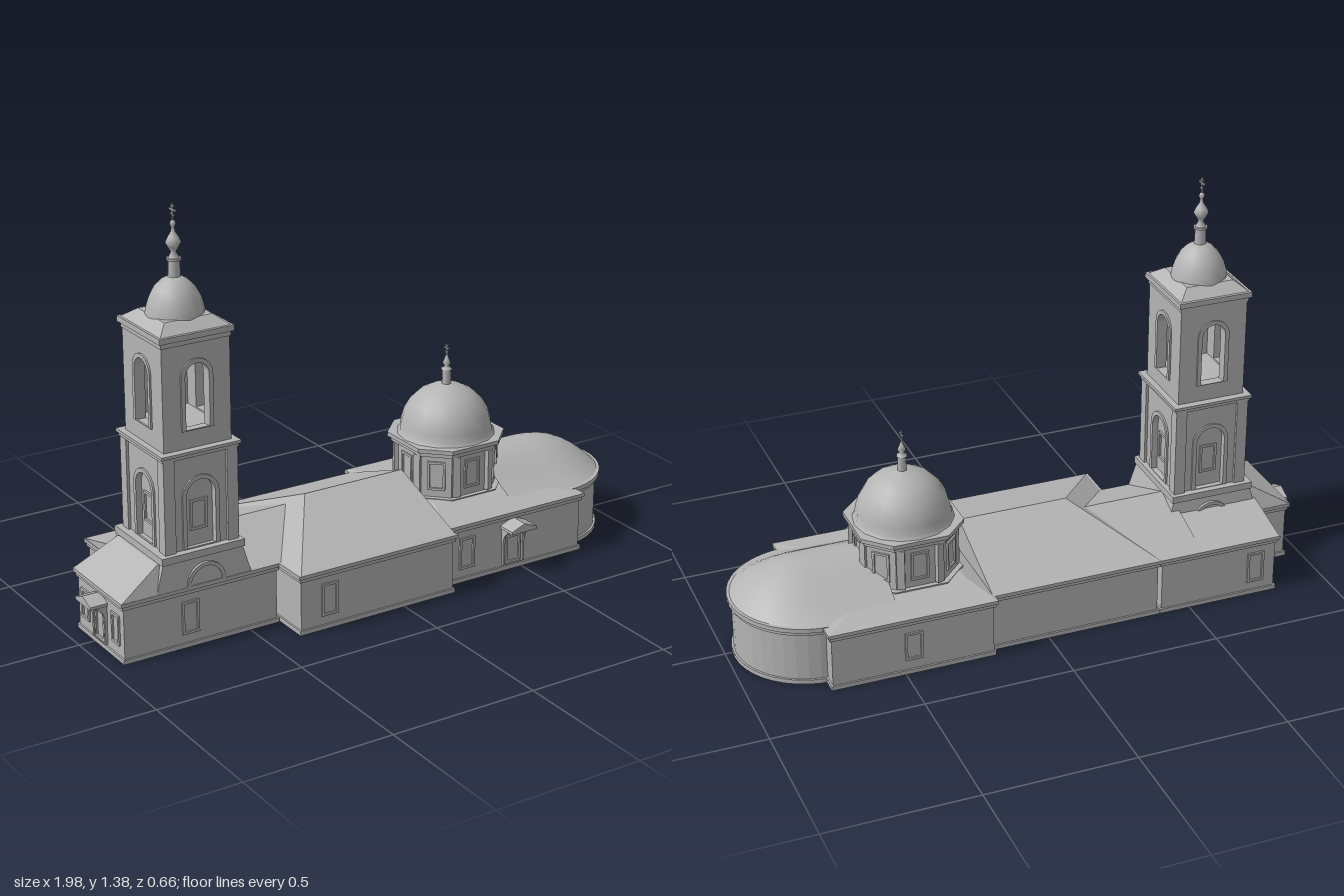
import * as THREE from 'three';

const stone = new THREE.MeshStandardMaterial({ color: 0xb4b4b4, side: THREE.DoubleSide });
stone.name = 'grey stone';

function add(parent, name, geo, x = 0, y = 0, z = 0, ry = 0) {
  const m = new THREE.Mesh(geo, stone);
  m.name = name;
  m.position.set(x, y, z);
  m.rotation.y = ry;
  parent.add(m);
  return m;
}

// Box given by its limits
function block(parent, name, x0, x1, y0, y1, z0, z1) {
  return add(parent, name, new THREE.BoxGeometry(x1 - x0, y1 - y0, z1 - z0),
    (x0 + x1) / 2, (y0 + y1) / 2, (z0 + z1) / 2);
}

// Solid between a lower and an upper rectangle [x0, x1, z0, z1]; covers hips, gables and sheds
function loft(parent, name, a, ya, b, yb) {
  const ring = (r, y) => [[r[0], y, r[3]], [r[1], y, r[3]], [r[1], y, r[2]], [r[0], y, r[2]]];
  const lo = ring(a, ya), hi = ring(b, yb), pos = [];
  const quad = (p, q, r, s) => pos.push(...p, ...q, ...r, ...p, ...r, ...s);
  for (let i = 0; i < 4; i++) {
    const j = (i + 1) % 4;
    // start on the lower edge so a collapsed top edge still gives one full triangle
    pos.push(...lo[i], ...lo[j], ...hi[j], ...lo[i], ...hi[j], ...hi[i]);
  }
  quad(...hi);
  const g = new THREE.BufferGeometry();
  g.setAttribute('position', new THREE.Float32BufferAttribute(pos, 3));
  g.computeVertexNormals();
  return add(parent, name, g);
}

const lathe = (pts, n) => new THREE.LatheGeometry(pts.map(p => new THREE.Vector2(...p)), n);
const extrude = (shape, depth) => new THREE.ExtrudeGeometry(shape, { depth, bevelEnabled: false, curveSegments: 10 });

// Round-headed outline, w wide, from y0 up to y1
function arch(path, w, y0, y1) {
  const r = w / 2;
  path.moveTo(-r, y0);
  path.lineTo(r, y0);
  path.lineTo(r, y1 - r);
  path.absarc(0, y1 - r, r, 0, Math.PI, false);
  path.lineTo(-r, y0);
  return path;
}

function archTrim(w, y0, y1, t, depth) {
  const s = arch(new THREE.Shape(), w + 2 * t, y0, y1 + t);
  s.holes.push(arch(new THREE.Path(), w, y0 + 0.002, y1));
  return extrude(s, depth);
}

// Rectangular frame with a thin pane, facing local +z
function windowFrame(parent, name, w, h, x, y, z, ry = 0) {
  const s = new THREE.Shape([[-w, -h], [w, -h], [w, h], [-w, h]].map(p => new THREE.Vector2(p[0] / 2, p[1] / 2)));
  const t = 0.008, a = w / 2 - t, b = h / 2 - t;
  s.holes.push(new THREE.Path([[-a, -b], [-a, b], [a, b], [a, -b]].map(p => new THREE.Vector2(...p))));
  add(parent, name, extrude(s, 0.006), x, y, z, ry);
}

// Four walls with a round-headed opening in each
function archedWalls(parent, name, w, d, y0, y1, ow, oy0, oy1, t) {
  for (let k = 0; k < 4; k++) {
    const width = k % 2 ? d : w, half = (k % 2 ? w : d) / 2, pivot = new THREE.Group();
    const s = new THREE.Shape();
    s.moveTo(-width / 2, y0); s.lineTo(width / 2, y0); s.lineTo(width / 2, y1); s.lineTo(-width / 2, y1);
    s.holes.push(arch(new THREE.Path(), ow, oy0, oy1));
    pivot.name = name;
    pivot.rotation.y = k * Math.PI / 2;
    add(pivot, name + 'Face', extrude(s, t), 0, 0, half - t);
    add(pivot, name + 'ArchTrim', archTrim(ow, oy0, oy1, 0.014, 0.006), 0, 0, half);
    parent.add(pivot);
  }
}

// Square with cut corners, extruded upwards
function cutSquare(h, c, depth) {
  const p = [[h, -c], [h, c], [c, h], [-c, h], [-h, c], [-h, -c], [-c, -h], [c, -h]];
  return extrude(new THREE.Shape(p.map(q => new THREE.Vector2(...q))), depth).rotateX(-Math.PI / 2);
}

function cross(parent, y, h, arm) {
  const t = 0.005;
  block(parent, 'crossPost', -t / 2, t / 2, y, y + h, -t / 2, t / 2);
  block(parent, 'crossArm', -t / 2, t / 2, y + h * 0.6, y + h * 0.6 + t, -arm, arm);
  block(parent, 'crossTopArm', -t / 2, t / 2, y + h * 0.8, y + h * 0.8 + t * 0.8, -arm / 2, arm / 2);
  const foot = block(parent, 'crossFootArm', -t / 2, t / 2, y + h * 0.32, y + h * 0.32 + t * 0.8, -arm / 2, arm / 2);
  foot.rotation.x = 0.4;
}

// Walls with plinth and two-step cornice
function wing(parent, name, x0, x1, z0, z1) {
  block(parent, name + 'Walls', x0, x1, 0, 0.19, z0, z1);
  const e = 0.006;
  block(parent, name + 'Plinth', x0 - e, x1 + e, 0, 0.015, z0 - e, z1 + e);
  block(parent, name + 'Frieze', x0 - e, x1 + e, 0.18, 0.193, z0 - e, z1 + e);
  block(parent, name + 'Cornice', x0 - 2 * e, x1 + 2 * e, 0.193, 0.205, z0 - 2 * e, z1 + 2 * e);
}

// Small gabled canopy on curved brackets, projecting along local +z
function canopy(parent, name, x, z, ry, w, out) {
  const g = new THREE.Group();
  g.name = name;
  g.position.set(x, 0, z);
  g.rotation.y = ry;
  const roof = new THREE.Shape([[-w, 0.152], [w, 0.152], [w, 0.162], [0, 0.182], [-w, 0.162]].map(p => new THREE.Vector2(p[0], p[1])));
  add(g, 'canopyRoof', extrude(roof, out));
  for (const s of [-1, 1]) {
    const b = new THREE.Shape();
    b.moveTo(0, 0.152); b.lineTo(out * 0.9, 0.152); b.quadraticCurveTo(0.008, 0.145, 0.008, 0.09); b.lineTo(0, 0.09);
    add(g, 'canopyBracket', extrude(b, 0.006).rotateY(-Math.PI / 2), s * (w - 0.008) + 0.003, 0, 0);
  }
  add(g, 'doorArch', archTrim(0.07, 0.02, 0.15, 0.008, 0.008));
  windowFrame(g, 'doorLeaf', 0.06, 0.1, 0, 0.072, 0);
  parent.add(g);
}

function buildTower() {
  const t = new THREE.Group();
  t.name = 'bellTower';
  t.position.set(-0.655, 0, 0.04);
  // Flared base with half-round gables
  loft(t, 'towerBase', [-0.175, 0.16, -0.16, 0.16], 0.2, [-0.145, 0.135, -0.15, 0.15], 0.292);
  block(t, 'towerBaseSlab', -0.15, 0.14, 0.292, 0.316, -0.155, 0.155);
  for (const s of [-1, 1]) add(t, 'baseArch', archTrim(0.11, 0.205, 0.262, 0.012, 0.014), 0, 0, s * 0.155 - 0.007);
  // Lower stage: arched niches over a solid core
  block(t, 'lowerCore', -0.105, 0.105, 0.3, 0.62, -0.115, 0.115);
  archedWalls(t, 'lowerStage', 0.24, 0.26, 0.31, 0.62, 0.1, 0.318, 0.54, 0.025);
  for (const x of [-1, 1]) for (const z of [-1, 1])
    block(t, 'cornerPilaster', x * 0.11 - 0.019, x * 0.11 + 0.019, 0.316, 0.62, z * 0.12 - 0.019, z * 0.12 + 0.019);
  for (let k = 0; k < 4; k++) {
    const a = k * Math.PI / 2, r = k % 2 ? 0.105 : 0.115;
    windowFrame(t, 'nicheWindow', 0.06, 0.1, Math.sin(a) * r, 0.42, Math.cos(a) * r, a);
  }
  block(t, 'lowerCornice', -0.132, 0.132, 0.62, 0.632, -0.142, 0.142);
  block(t, 'lowerCorniceTop', -0.138, 0.138, 0.632, 0.642, -0.148, 0.148);
  // Open belfry
  archedWalls(t, 'belfry', 0.234, 0.245, 0.64, 0.98, 0.082, 0.7, 0.912, 0.03);
  block(t, 'belfryFloor', -0.1, 0.1, 0.64, 0.695, -0.1, 0.1);
  block(t, 'belfryCornice', -0.12, 0.12, 0.975, 0.992, -0.126, 0.126);
  block(t, 'belfryCorniceTop', -0.128, 0.128, 0.992, 1.01, -0.135, 0.135);
  loft(t, 'belfryRoof', [-0.12, 0.12, -0.125, 0.125], 1.01, [-0.082, 0.082, -0.084, 0.084], 1.04);
  // Dome, lantern, onion and cross
  add(t, 'towerDome', lathe([[0.092, 1.035], [0.089, 1.055], [0.08, 1.085], [0.064, 1.115], [0.042, 1.138], [0.02, 1.15], [0, 1.153]], 16));
  add(t, 'lantern', new THREE.CylinderGeometry(0.019, 0.021, 0.06, 8), 0, 1.172, 0);
  add(t, 'lanternCap', new THREE.CylinderGeometry(0.024, 0.024, 0.007, 8), 0, 1.204, 0);
  add(t, 'onion', lathe([[0.018, 1.207], [0.008, 1.226], [0.017, 1.241], [0.025, 1.256], [0.018, 1.271], [0.007, 1.288], [0.005, 1.302], [0.01, 1.312], [0.007, 1.321], [0, 1.326]], 10));
  cross(t, 1.32, 0.055, 0.02);
  return t;
}

function buildDrum() {
  const d = new THREE.Group();
  d.name = 'domedDrum';
  d.position.set(0.4, 0, -0.037);
  add(d, 'drumBase', cutSquare(0.168, 0.088, 0.03), 0, 0.2, 0);
  add(d, 'drumWalls', cutSquare(0.152, 0.08, 0.17), 0, 0.22, 0);
  add(d, 'drumFrieze', cutSquare(0.162, 0.086, 0.016), 0, 0.374, 0);
  add(d, 'drumCornice', cutSquare(0.173, 0.092, 0.014), 0, 0.39, 0);
  for (let k = 0; k < 8; k++) {
    const a = k * Math.PI / 4, r = k % 2 ? (0.152 + 0.08) / Math.SQRT2 : 0.152;
    windowFrame(d, 'drumWindow', 0.06, 0.1, Math.sin(a) * r, 0.305, Math.cos(a) * r, a);
    const c = (k + 0.5) * Math.PI / 4;
    add(d, 'drumPilaster', new THREE.BoxGeometry(0.026, 0.14, 0.014), Math.sin(c) * 0.17, 0.304, Math.cos(c) * 0.17, c);
  }
  add(d, 'mainDome', lathe([[0.166, 0.402], [0.156, 0.415], [0.153, 0.44], [0.143, 0.475], [0.122, 0.512], [0.092, 0.542], [0.055, 0.562], [0.015, 0.572], [0, 0.573]], 16));
  add(d, 'domeLantern', new THREE.CylinderGeometry(0.014, 0.016, 0.06, 8), 0, 0.592, 0);
  add(d, 'domeOnion', lathe([[0.018, 0.62], [0.018, 0.625], [0.007, 0.632], [0.014, 0.645], [0.008, 0.658], [0.003, 0.672], [0, 0.674]], 8));
  cross(d, 0.668, 0.042, 0.014);
  return d;
}

function buildApse() {
  const a = new THREE.Group();
  a.name = 'apse';
  const zc = -0.027, x0 = 0.72;
  const slab = (name, e, y0, y1) => {
    const s = new THREE.Shape();
    s.moveTo(0, -0.242 - e);
    s.absellipse(0, 0, 0.25 + e, 0.242 + e, -Math.PI / 2, Math.PI / 2, false);
    s.closePath();
    add(a, name, extrude(s, y1 - y0).rotateX(-Math.PI / 2), x0, y0, zc);
  };
  slab('apseWalls', 0, 0, 0.19);
  slab('apsePlinth', 0.007, 0, 0.015);
  slab('apseFrieze', 0.007, 0.18, 0.193);
  slab('apseCornice', 0.014, 0.193, 0.208);
  // Vaulted roof: half dome running back into the drum
  const nu = 24, nr = 8, pos = [], idx = [];
  for (let i = 0; i <= nu + 2; i++) {
    const end = i === 0 || i === nu + 2;
    const th = -Math.PI / 2 + Math.PI * Math.min(Math.max(i - 1, 0), nu) / nu;
    const c = Math.cos(th), s = Math.sin(th);
    for (let j = 0; j <= nr; j++) {
      const r = j / nr, bell = (1 + Math.cos(Math.PI * r)) / 2, round = 1 - r ** 2.4;
      const y = 0.207 + 0.106 * (bell + (round - bell) * (0.35 + 0.65 * c * c));
      pos.push(end ? 0.5 : x0 + c * r * 0.255, y, zc + s * r * 0.245);
    }
  }
  for (let i = 0; i < nu + 2; i++) for (let j = 0; j < nr; j++) {
    const p = i * (nr + 1) + j, q = p + nr + 1;
    idx.push(p, q, p + 1, q, q + 1, p + 1);
  }
  const g = new THREE.BufferGeometry();
  g.setAttribute('position', new THREE.Float32BufferAttribute(pos, 3));
  g.setIndex(idx);
  g.computeVertexNormals();
  add(a, 'apseRoof', g);
  return a;
}

export function createModel() {
  const church = new THREE.Group();
  church.name = 'church';
  // Wings
  wing(church, 'westWing', -0.94, -0.4, -0.11, 0.19);
  wing(church, 'northWestWing', -0.81, -0.4, -0.29, 0);
  wing(church, 'nave', -0.385, 0.19, -0.29, 0.312);
  wing(church, 'eastWing', 0.2, 0.74, -0.32, 0.262);
  // Roofs
  loft(church, 'westRoof', [-0.95, -0.7, -0.12, 0.2], 0.205, [-0.81, -0.7, -0.09, 0.17], 0.29);
  loft(church, 'northWestRoof', [-0.82, -0.51, -0.3, -0.1], 0.205, [-0.82, -0.51, -0.12, -0.1], 0.25);
  loft(church, 'linkRoof', [-0.54, -0.2, -0.3, 0.2], 0.205, [-0.54, -0.2, -0.02, -0.02], 0.29);
  loft(church, 'naveRoof', [-0.39, 0.195, -0.3, 0.322], 0.205, [-0.18, 0.195, 0.005, 0.005], 0.322);
  loft(church, 'eastRoof', [0.19, 0.75, -0.33, 0.272], 0.205, [0.25, 0.6, -0.19, 0.12], 0.228);
  church.add(buildTower(), buildDrum(), buildApse());
  // Windows and doors
  windowFrame(church, 'westWindow', 0.06, 0.11, -0.71, 0.1, 0.19);
  windowFrame(church, 'naveWindow', 0.06, 0.11, -0.28, 0.1, 0.312);
  windowFrame(church, 'eastWindow', 0.06, 0.11, 0.28, 0.1, 0.262);
  windowFrame(church, 'eastBackWindow', 0.06, 0.1, 0.47, 0.1, -0.32, Math.PI);
  windowFrame(church, 'northWestWindow', 0.06, 0.11, -0.74, 0.1, -0.29, Math.PI);
  for (const z of [-0.06, 0.14]) windowFrame(church, 'endWindow', 0.05, 0.1, -0.94, 0.1, z, -Math.PI / 2);
  canopy(church, 'southPorch', 0.465, 0.262, 0, 0.05, 0.065);
  canopy(church, 'westPorch', -0.94, 0.037, -Math.PI / 2, 0.05, 0.06);
  return church;
}
